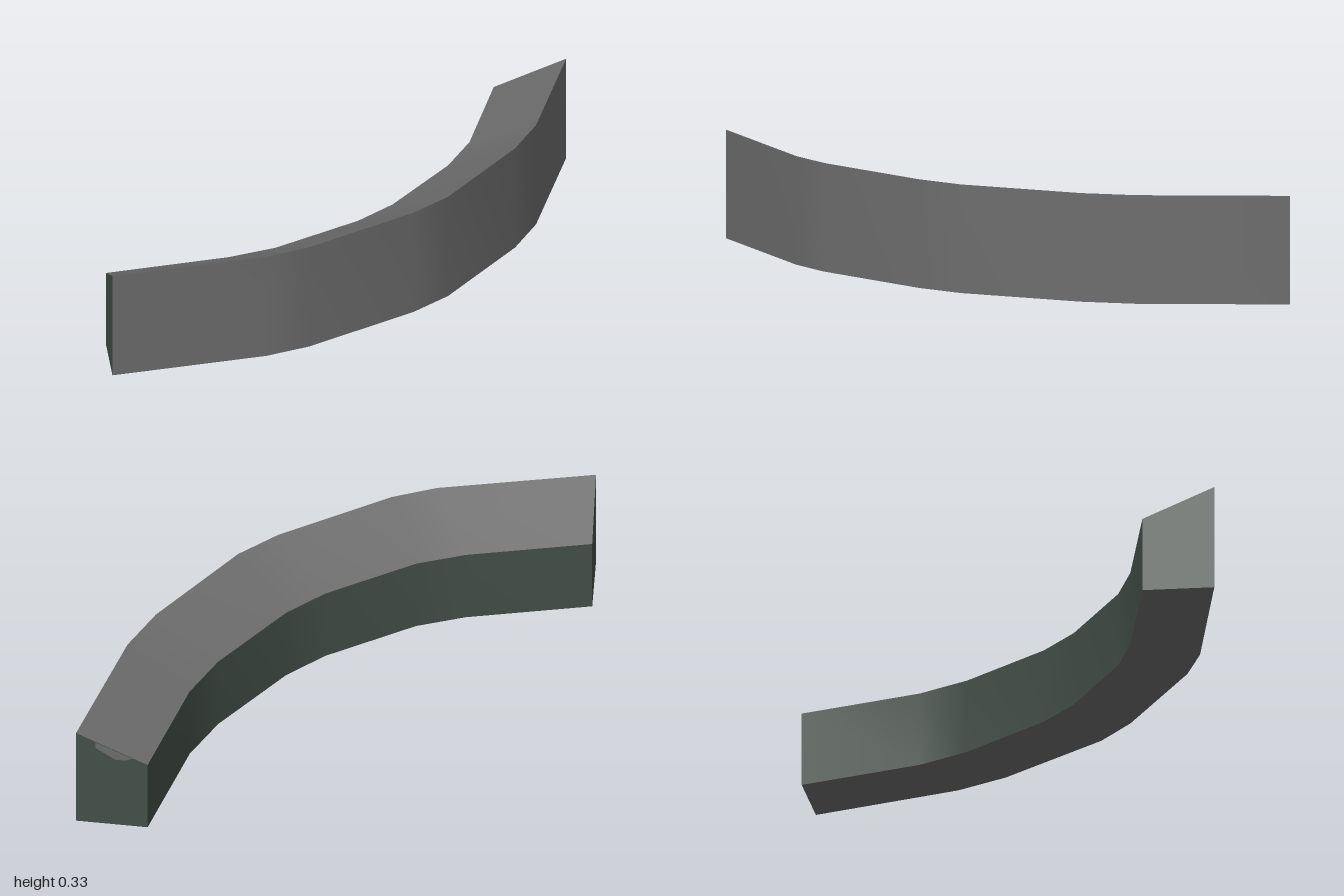
import * as THREE from 'three';

const gray = new THREE.MeshStandardMaterial({ color: 0x6c6c6c });
gray.name = 'stone gray';
const green = new THREE.MeshStandardMaterial({ color: 0x434f48 });
green.name = 'dark green';

// Plan outline as [x, z], from -x to +x
const OUTER = [[-1, -0.128], [-0.6, 0.135], [-0.47, 0.19], [-0.09, 0.274], [0.06, 0.282], [0.44, 0.22], [0.6, 0.165], [1, -0.06]];
const INNER = [[-0.85, -0.283], [-0.53, -0.075], [-0.39, -0.01], [-0.09, 0.058], [0.06, 0.064], [0.37, 0.017], [0.53, -0.037], [0.86, -0.225]];
const OUTER_HEIGHT = 0.33;
const INNER_HEIGHT = 0.235;

const atHeight = (outline, y) => outline.map(([x, z]) => [x, y, z]);

// Smooth strip between two rows of points, seen with row a below row b
function strip(name, a, b, material) {
  const index = [];
  const n = a.length;
  for (let i = 0; i < n - 1; i++) index.push(i, i + 1, n + i, i + 1, n + i + 1, n + i);
  const geometry = new THREE.BufferGeometry();
  geometry.setAttribute('position', new THREE.Float32BufferAttribute([...a, ...b].flat(), 3));
  geometry.setIndex(index);
  geometry.computeVertexNormals();
  const mesh = new THREE.Mesh(geometry, material);
  mesh.name = name;
  return mesh;
}

export function createModel() {
  const group = new THREE.Group();
  group.name = 'curvedLedge';
  const outerBottom = atHeight(OUTER, 0);
  const outerTop = atHeight(OUTER, OUTER_HEIGHT);
  const innerBottom = atHeight(INNER, 0);
  const innerTop = atHeight(INNER, INNER_HEIGHT);
  const last = OUTER.length - 1;

  // Long faces
  group.add(
    strip('frontFace', outerBottom, outerTop, gray),
    strip('slopedTop', outerTop, innerTop, gray),
    strip('backFace', innerTop, innerBottom, green),
    strip('underside', innerBottom, outerBottom, gray)
  );

  // End caps
  group.add(
    strip('leftEnd', [outerBottom[last], innerBottom[last]], [outerTop[last], innerTop[last]], green),
    strip('rightEnd', [innerBottom[0], outerBottom[0]], [innerTop[0], outerTop[0]], green)
  );

  // Worn patch under the top edge of the left end
  const outline = [[0.059, 0.303], [0.059, 0.283], [0.079, 0.27], [0.118, 0.245], [0.151, 0.245], [0.17, 0.255]];
  const patch = new THREE.Mesh(new THREE.ShapeGeometry(new THREE.Shape(outline.map(([x, y]) => new THREE.Vector2(x, y)))), gray);
  patch.name = 'wornPatch';
  const [ox, oz] = OUTER[last];
  const [ix, iz] = INNER[last];
  patch.rotation.y = Math.atan2(oz - iz, ix - ox);
  patch.position.set(ox, 0, oz);
  patch.translateZ(0.002);
  group.add(patch);

  return group;
}
